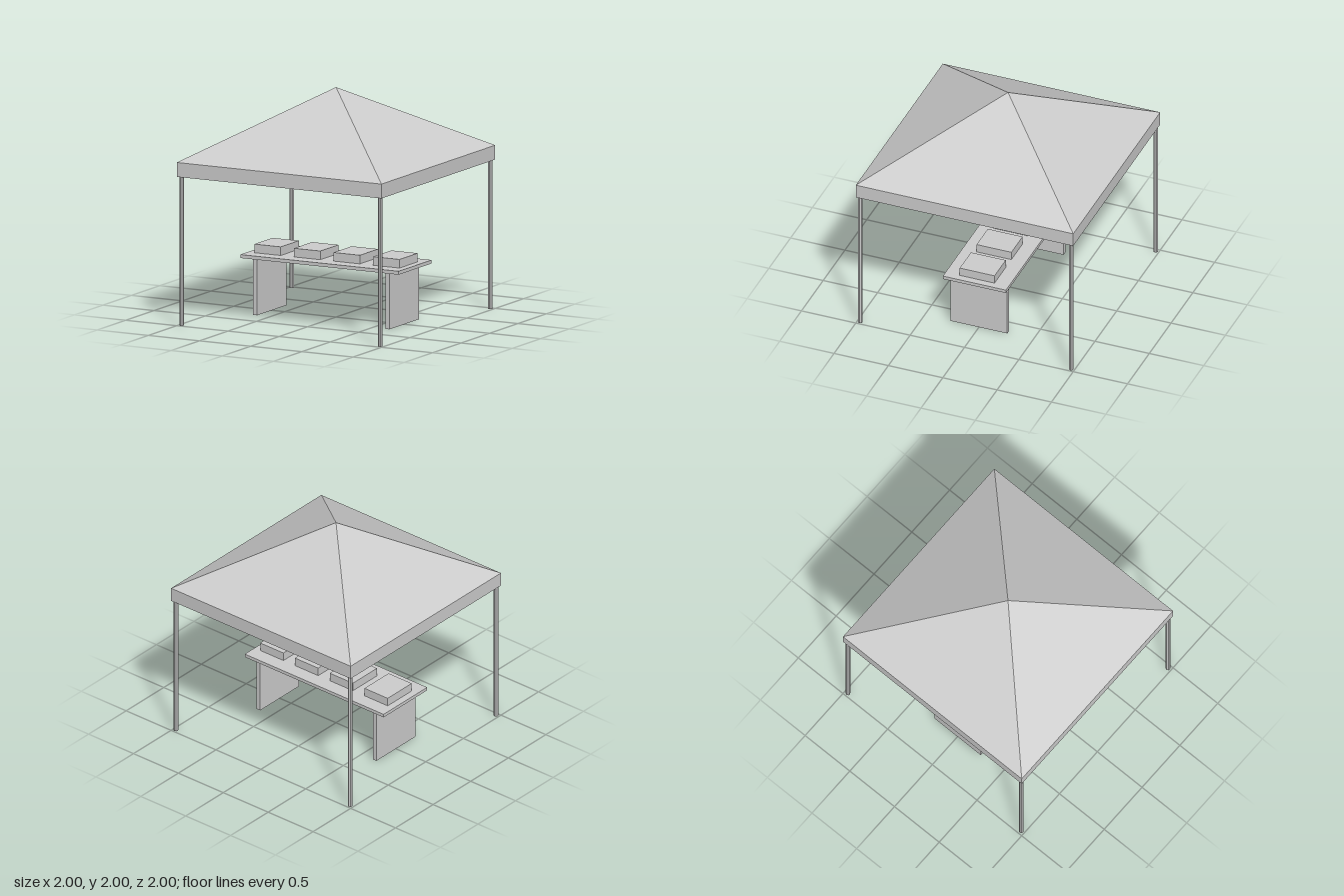
import * as THREE from 'three';

export function createModel() {
  const model = new THREE.Group();
  const grey = new THREE.MeshStandardMaterial({ color: 0xcccccc, flatShading: true, side: THREE.DoubleSide });
  grey.name = 'lightGrey';

  const add = (name, geometry, x, y, z, parent = model) => {
    const mesh = new THREE.Mesh(geometry, grey);
    mesh.name = name;
    mesh.position.set(x, y, z);
    parent.add(mesh);
    return mesh;
  };

  // Canopy: open pyramid roof and a hanging valance, both thin cloth
  const canopy = new THREE.Group();
  canopy.name = 'canopy';
  model.add(canopy);
  const eaves = 1.42, hem = 1.295, peak = 2, corner = Math.SQRT2;
  const roof = new THREE.ConeGeometry(corner, peak - eaves, 4, 1, true).rotateY(Math.PI / 4);
  add('roof', roof, 0, (peak + eaves) / 2, 0, canopy);
  const valance = new THREE.CylinderGeometry(corner, corner, eaves - hem, 4, 1, true).rotateY(Math.PI / 4);
  add('valance', valance, 0, (eaves + hem) / 2, 0, canopy);

  // Corner poles
  const pole = new THREE.CylinderGeometry(0.02, 0.02, eaves, 8);
  for (const x of [-0.97, 0.97])
    for (const z of [-0.97, 0.97]) add('pole', pole, x, eaves / 2, z);

  // Table with two panel legs
  const table = new THREE.Group();
  table.name = 'table';
  model.add(table);
  add('tableTop', new THREE.BoxGeometry(1.546, 0.03, 0.58), 0, 0.505, 0, table);
  const leg = new THREE.BoxGeometry(0.04, 0.49, 0.52);
  for (const x of [-0.647, 0.647]) add('tableLeg', leg, x, 0.245, 0, table);

  // Row of boxes on the table
  const box = new THREE.BoxGeometry(0.258, 0.075, 0.32);
  for (let i = 0; i < 4; i++) add('displayBox', box, (i - 1.5) * 0.387, 0.5575, 0);

  return model;
}
